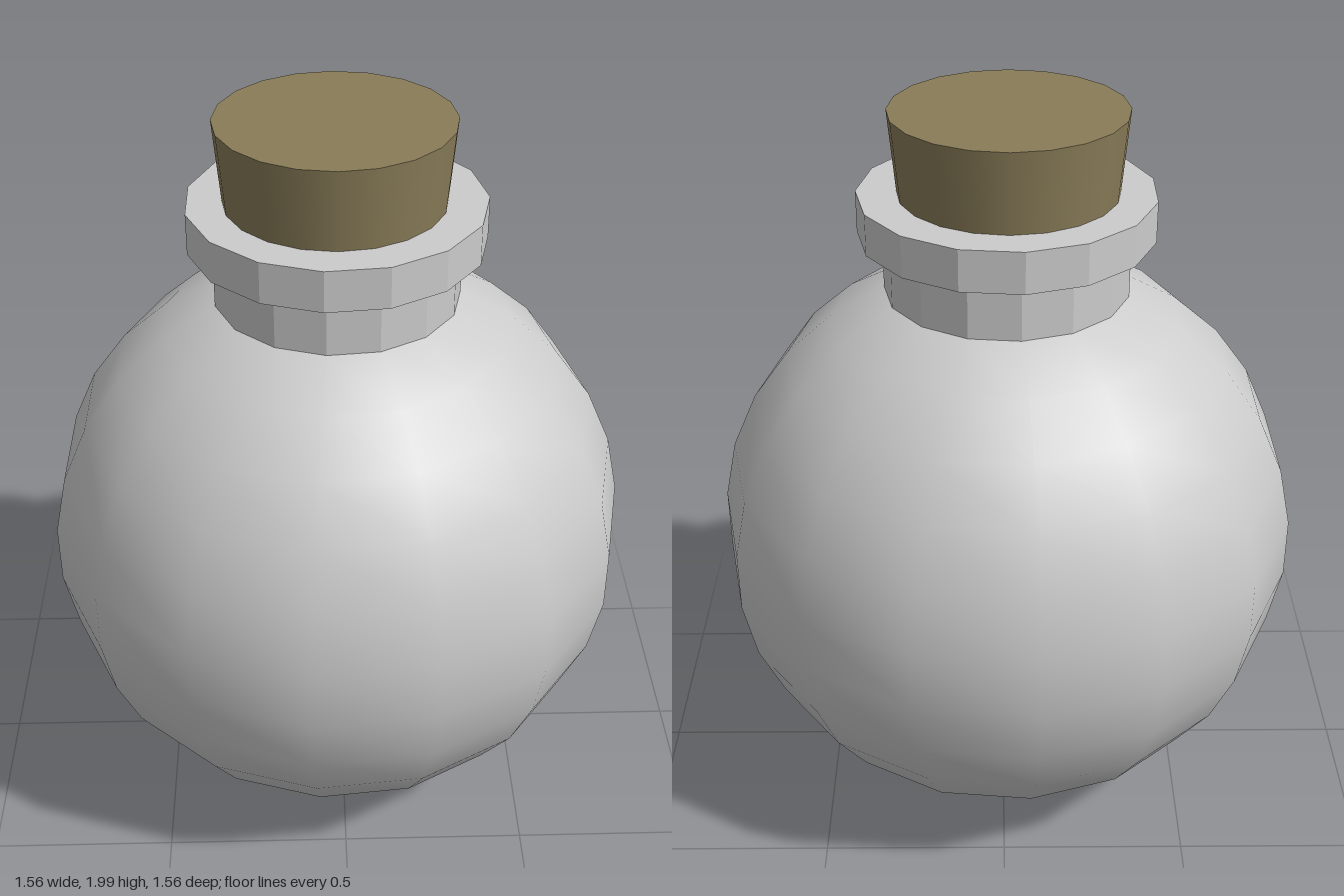
import * as THREE from 'three';

const SIDES = 15;
const CX = -0.011; // the odd-sided bottle axis sits slightly off centre

function addPart(group, name, geometry, material, x) {
  const mesh = new THREE.Mesh(geometry, material);
  mesh.name = name;
  mesh.position.x = x;
  group.add(mesh);
}

export function createModel() {
  const group = new THREE.Group();
  group.name = 'corkedFlask';

  const glass = new THREE.MeshStandardMaterial({ color: 0xcccccc });
  const facetedGlass = new THREE.MeshStandardMaterial({ color: 0xcccccc, flatShading: true });
  const corkMaterial = new THREE.MeshStandardMaterial({ color: 0x897c58 });

  // Round body: 12 degree rings, open where the neck begins
  const step = Math.PI / SIDES;
  const body = new THREE.SphereGeometry(0.791, SIDES, SIDES - 2, 0, Math.PI * 2, 2 * step, Math.PI - 2 * step);
  body.rotateY(Math.PI); // a corner points to +x
  body.translate(0, 0.797, 0);
  addPart(group, 'body', body, glass, CX);

  // Faceted neck with a projecting lip, closed on top
  const profile = [
    [0.322, 1.519], [0.322, 1.675], [0.386, 1.675], [0.386, 1.785], [0, 1.785],
  ].map(([r, y]) => new THREE.Vector2(r, y));
  const neck = new THREE.LatheGeometry(profile, SIDES);
  neck.rotateY(Math.PI / 2);
  addPart(group, 'neckAndLip', neck, facetedGlass, CX);

  // Tapered cork stopper
  const cork = new THREE.CylinderGeometry(0.305, 0.285, 0.22, 20);
  cork.translate(0, 1.89, 0);
  addPart(group, 'cork', cork, corkMaterial, -0.015);

  return group;
}
